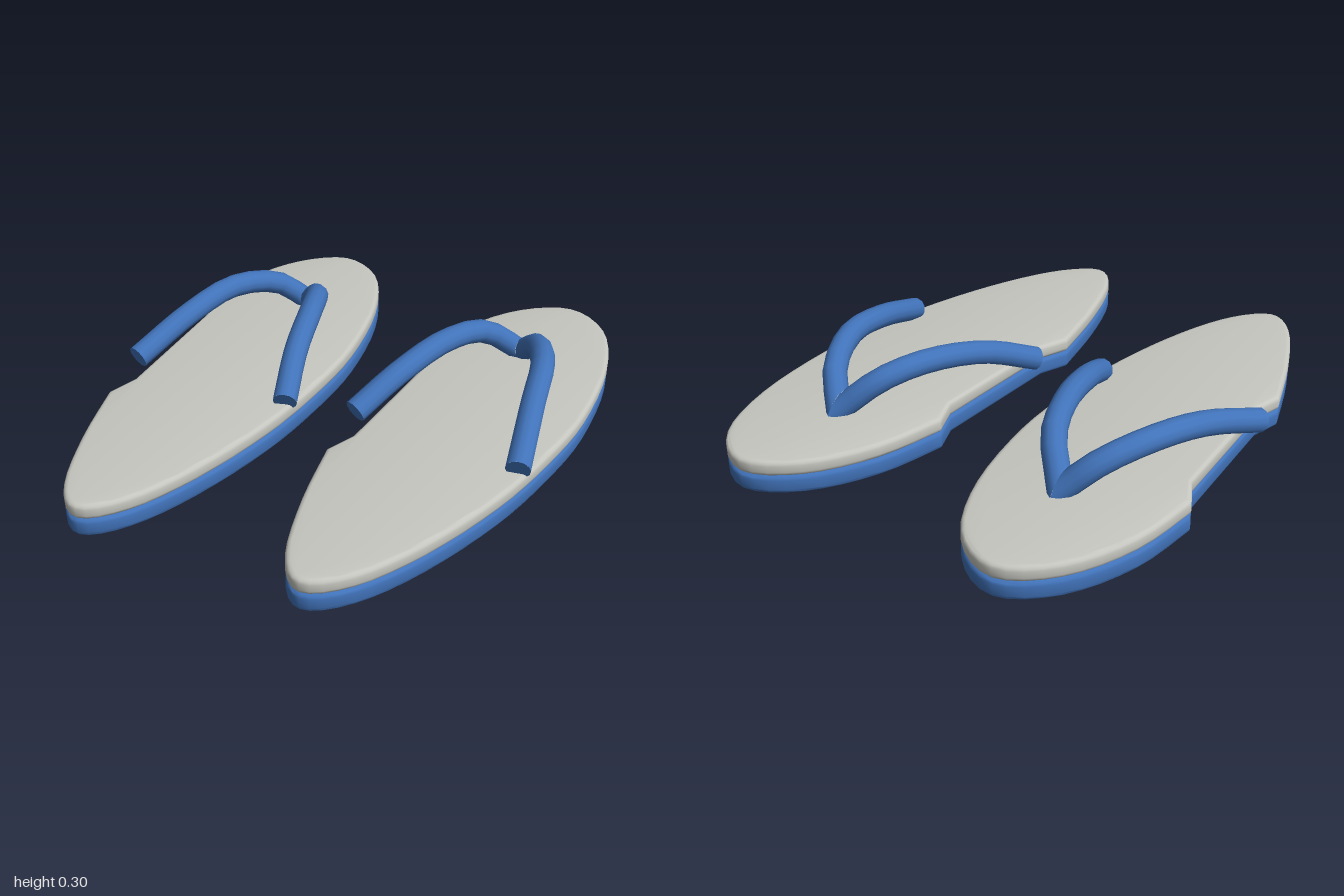
import * as THREE from 'three';
import { toCreasedNormals } from 'three/addons/utils/BufferGeometryUtils.js';

const blue = new THREE.MeshStandardMaterial({ color: 0x4173ba });
blue.name = 'blue rubber';
const grey = new THREE.MeshStandardMaterial({ color: 0xc6c6c0 });
grey.name = 'pale grey foam';

// Sole outline as [x, z]: a long curve from the toe side to the heel side, then a shallow arch notch
const outer = [
  [0.125, -0.42], [0.18, -0.67], [0.305, -0.89], [0.48, -1.0], [0.65, -0.905], [0.755, -0.66],
  [0.8, -0.32], [0.786, -0.03], [0.74, 0.265], [0.645, 0.58], [0.53, 0.81], [0.4, 0.915],
  [0.295, 0.825], [0.2, 0.58], [0.13, 0.31],
];
const notch = [[0.168, 0.2], [0.17, -0.32]];

function soleLayer(name, bottom, top, material) {
  const curve = new THREE.SplineCurve(outer.map(([x, z]) => new THREE.Vector2(x, -z)));
  const shape = new THREE.Shape(curve.getPoints(56));
  notch.forEach(([x, z]) => shape.lineTo(x, -z));
  shape.closePath();
  const bevel = 0.016;
  const geometry = new THREE.ExtrudeGeometry(shape, {
    depth: top - bottom - 2 * bevel, bevelThickness: bevel, bevelSize: bevel,
    bevelOffset: -bevel, bevelSegments: 3,
  });
  geometry.rotateX(-Math.PI / 2).translate(0, bottom + bevel, 0);
  const mesh = new THREE.Mesh(toCreasedNormals(geometry, 0.6), material);
  mesh.name = name;
  return mesh;
}

// Strap centre lines from the toe post to each side of the foot
const outerStrap = [
  [0.44, 0.13, -0.59], [0.53, 0.222, -0.51], [0.62, 0.262, -0.34], [0.675, 0.232, -0.13], [0.74, 0.145, 0.125],
];
const innerStrap = [
  [0.44, 0.13, -0.59], [0.335, 0.235, -0.485], [0.262, 0.262, -0.32], [0.19, 0.225, -0.1], [0.115, 0.14, 0.095],
];

function strap(name, points) {
  const radius = 0.043, sides = 12, group = new THREE.Group();
  group.name = name;
  const curve = new THREE.CatmullRomCurve3(points.map(p => new THREE.Vector3(...p)));
  const geometry = new THREE.TubeGeometry(curve, 12, radius, sides, false);
  // Mitre the first ring so both straps meet on one plane at the toe post
  const pos = geometry.attributes.position;
  const start = curve.getTangentAt(0);
  for (let i = 0; i <= sides; i++) {
    const slide = (points[0][0] - pos.getX(i)) / start.x;
    pos.setXYZ(i, points[0][0], pos.getY(i) + start.y * slide, pos.getZ(i) + start.z * slide);
  }
  const tube = new THREE.Mesh(geometry, blue);
  tube.name = 'strapTube';
  // Flat cap on the free end
  const cap = new THREE.Mesh(new THREE.CircleGeometry(radius, sides), blue);
  cap.name = 'strapEnd';
  cap.position.copy(curve.getPointAt(1));
  cap.quaternion.setFromUnitVectors(new THREE.Vector3(0, 0, 1), curve.getTangentAt(1));
  group.add(tube, cap);
  return group;
}

function sandal(name, isRight) {
  const group = new THREE.Group();
  group.name = name;
  const sole = new THREE.Group();
  sole.name = 'sole';
  sole.add(soleLayer('outsole', 0.004, 0.071, blue), soleLayer('footbed', 0.071, 0.126, grey));
  if (isRight) {
    // Same sole, turned slightly and set beside the other
    sole.rotation.y = 0.109;
    sole.position.set(-0.883, 0, 0.114);
  }
  // Straps are mirrored between the two sandals
  const place = pts => pts.map(([x, y, z]) => (isRight ? [-x - 0.012, y, z + 0.073] : [x, y, z]));
  group.add(sole, strap('outerStrap', place(outerStrap)), strap('innerStrap', place(innerStrap)));
  return group;
}

export function createModel() {
  const model = new THREE.Group();
  model.name = 'sandals';
  model.add(sandal('leftSandal', false), sandal('rightSandal', true));
  return model;
}
